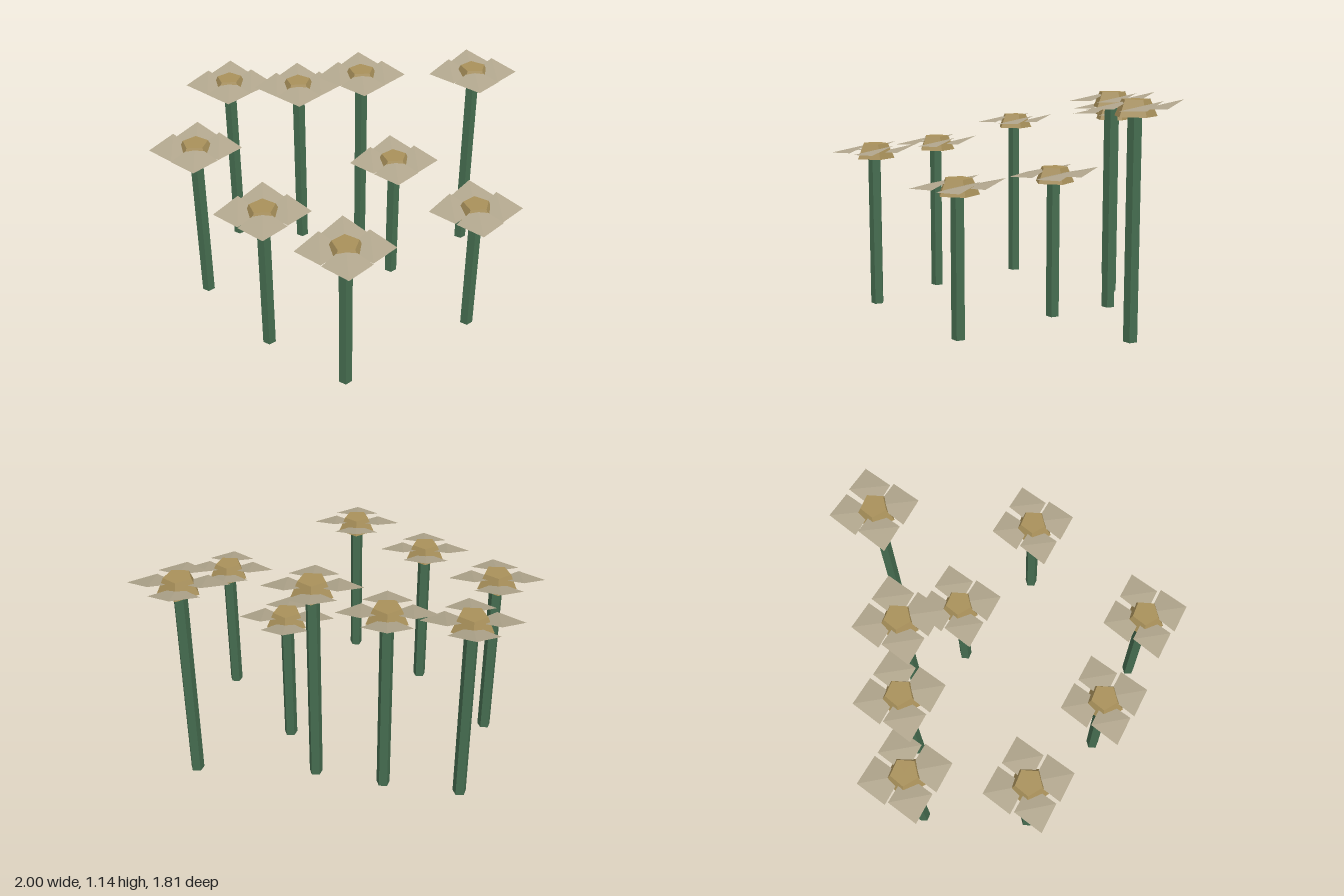
import * as THREE from 'three';

const stemGreen = new THREE.MeshStandardMaterial({ color: 0x456c4f });
stemGreen.name = 'stem green';
stemGreen.flatShading = true;
const headOchre = new THREE.MeshStandardMaterial({ color: 0xa8905a });
headOchre.name = 'head ochre';
headOchre.flatShading = true;
const petalBeige = new THREE.MeshStandardMaterial({ color: 0xb0a58c, side: THREE.DoubleSide });
petalBeige.name = 'petal beige';
petalBeige.flatShading = true;

const HEAD_HEIGHT = 0.078;

// Diamond leaf folded along z, its ridge rising towards the back
function petalGeometry() {
  const w = 0.12, d = 0.103, fold = 0.014, rise = 0.023;
  const geometry = new THREE.BufferGeometry();
  geometry.setAttribute('position', new THREE.Float32BufferAttribute([
    -w, 0, 0, 0, fold - rise, d, 0, fold + rise, -d,
    w, 0, 0, 0, fold + rise, -d, 0, fold - rise, d,
  ], 3));
  geometry.computeVertexNormals();
  return geometry;
}

function part(name, geometry, material) {
  const mesh = new THREE.Mesh(geometry, material);
  mesh.name = name;
  return mesh;
}

function createFlower(x, z, stemHeight, petal, head) {
  const flower = new THREE.Group();
  flower.name = 'flower';
  flower.position.set(x, 0, z);

  // Five-sided stem, reaching the underside of the head
  const stem = part('stem', new THREE.CylinderGeometry(0.035, 0.035, stemHeight, 5), stemGreen);
  stem.position.y = stemHeight / 2;
  flower.add(stem);

  // Tapered five-sided head with a corner at the back
  const middle = stemHeight + HEAD_HEIGHT / 2;
  const centre = part('flowerHead', head, headOchre);
  centre.position.y = middle;
  centre.rotation.y = Math.PI;
  flower.add(centre);

  // Four petals, all folded the same way
  for (const [px, pz] of [[0.121, 0], [-0.121, 0], [0, 0.122], [0, -0.122]]) {
    const leaf = part('petal', petal, petalBeige);
    leaf.position.set(px, middle, pz);
    flower.add(leaf);
  }
  return flower;
}

export function createModel() {
  const model = new THREE.Group();
  model.name = 'flowerPatch';
  const petal = petalGeometry();
  const head = new THREE.CylinderGeometry(0.069, 0.104, HEAD_HEIGHT, 5);

  // x, z and stem height of each flower
  const flowers = [
    [-0.76, -0.125, 0.88], [-0.595, -0.68, 0.97], [-0.415, 0.35, 0.787],
    [-0.21, -0.627, 0.97], [-0.03, 0.676, 0.787], [0.137, -0.553, 1.062],
    [0.295, -0.236, 0.695], [0.66, 0.258, 0.695], [0.755, -0.548, 1.062],
  ];
  for (const [x, z, h] of flowers) model.add(createFlower(x, z, h, petal, head));
  return model;
}
